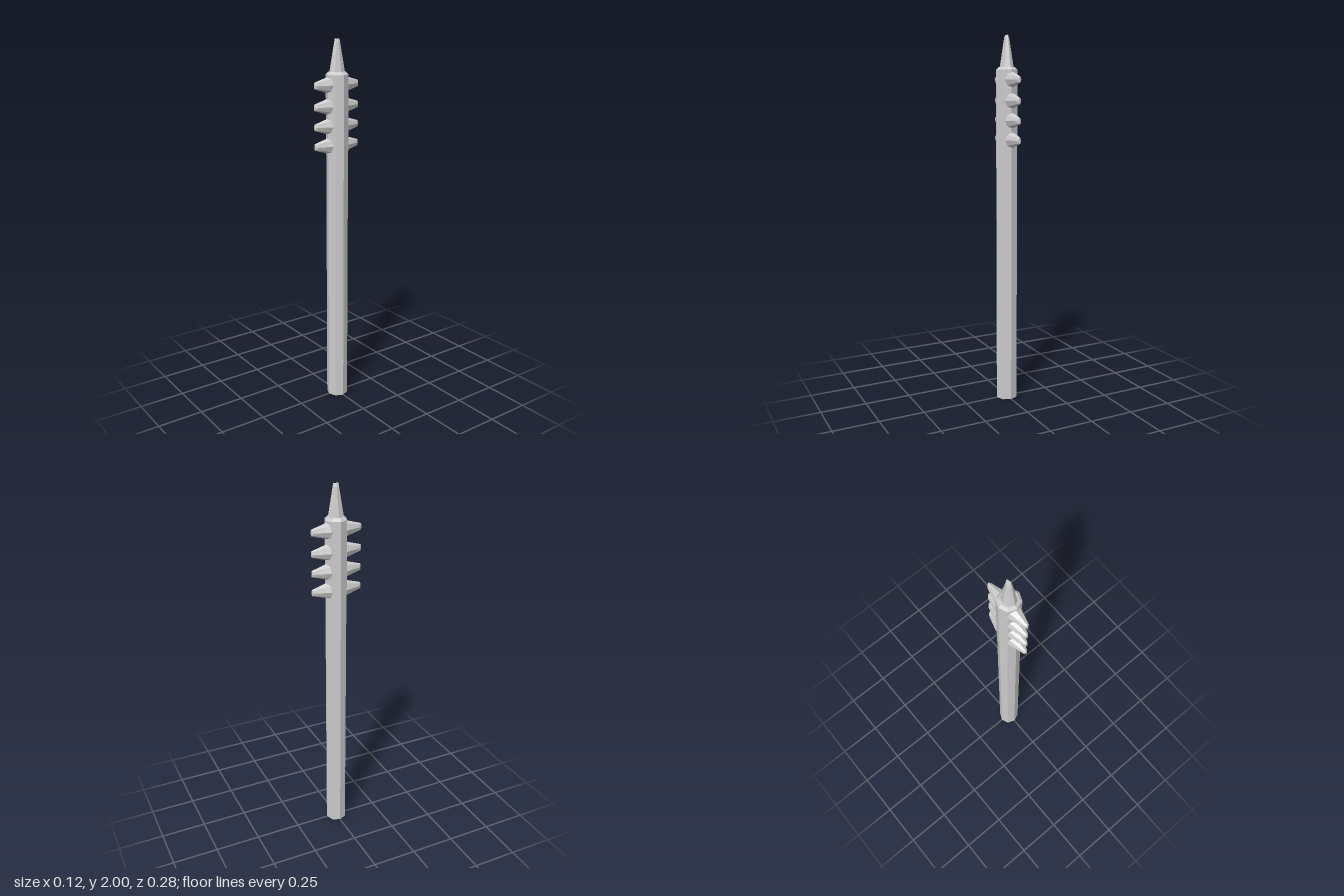
import * as THREE from 'three';

const material = new THREE.MeshStandardMaterial({ color: 0xcccccc, flatShading: true });

// Eight-sided turned solid from [radius, height] pairs, listed bottom to top
function turned(profile, sx = 1, sz = 1) {
  const points = profile.map(([r, y]) => new THREE.Vector2(r, y));
  return new THREE.LatheGeometry(points, 8).scale(sx, 1, sz);
}

// Blunt spike along +y whose end is pinched into a short ridge along z
function spikeGeometry(baseX, baseZ, endX, endZ, length, sink) {
  const geometry = turned([[0, -sink], [1, -sink], [1, 0], [0.5, length * 0.9], [0.25, length], [0, length]]);
  const pos = geometry.attributes.position;
  for (let i = 0; i < pos.count; i++) {
    const y = pos.getY(i);
    const r = Math.hypot(pos.getX(i), pos.getZ(i)) || 1;
    const t = Math.max(0, y) / length;
    const atEnd = t > 0.95;
    const rx = atEnd ? endX * 0.4 : THREE.MathUtils.lerp(baseX, endX, t / 0.9);
    const rz = atEnd ? endZ * 0.85 : THREE.MathUtils.lerp(baseZ, endZ, t / 0.9);
    pos.setX(i, (pos.getX(i) / r) * rx);
    pos.setZ(i, (pos.getZ(i) / r) * rz);
  }
  return geometry;
}

export function createModel() {
  const model = new THREE.Group();
  model.name = 'spikedStaff';

  function add(name, geometry, x = 0, y = 0, z = 0) {
    const mesh = new THREE.Mesh(geometry, material);
    mesh.name = name;
    mesh.position.set(x, y, z);
    model.add(mesh);
    return mesh;
  }

  // Long octagonal shaft
  add('shaft', turned([[0, 0], [0.06, 0], [0.06, 1.43], [0, 1.43]], 1, 0.96));

  // Head sleeve with a small bevel round its top
  add('head', turned([[0, 1.425], [0.061, 1.425], [0.061, 1.822], [0.046, 1.836], [0, 1.836]], 1, 0.97));

  // Pointed tip
  add('tip', spikeGeometry(0.037, 0.045, 0.013, 0.018, 0.17, 0.01), 0, 1.83, 0);

  // Four spikes on the front, four on the back
  for (const side of [1, -1]) {
    for (const y of [1.77, 1.66, 1.557, 1.455]) {
      const spike = add(side > 0 ? 'frontSpike' : 'backSpike',
        spikeGeometry(0.039, 0.044, 0.014, 0.02, 0.092, 0.02), -0.006, y, side * 0.046);
      spike.rotation.x = side * Math.PI / 2;
    }
  }
  return model;
}
